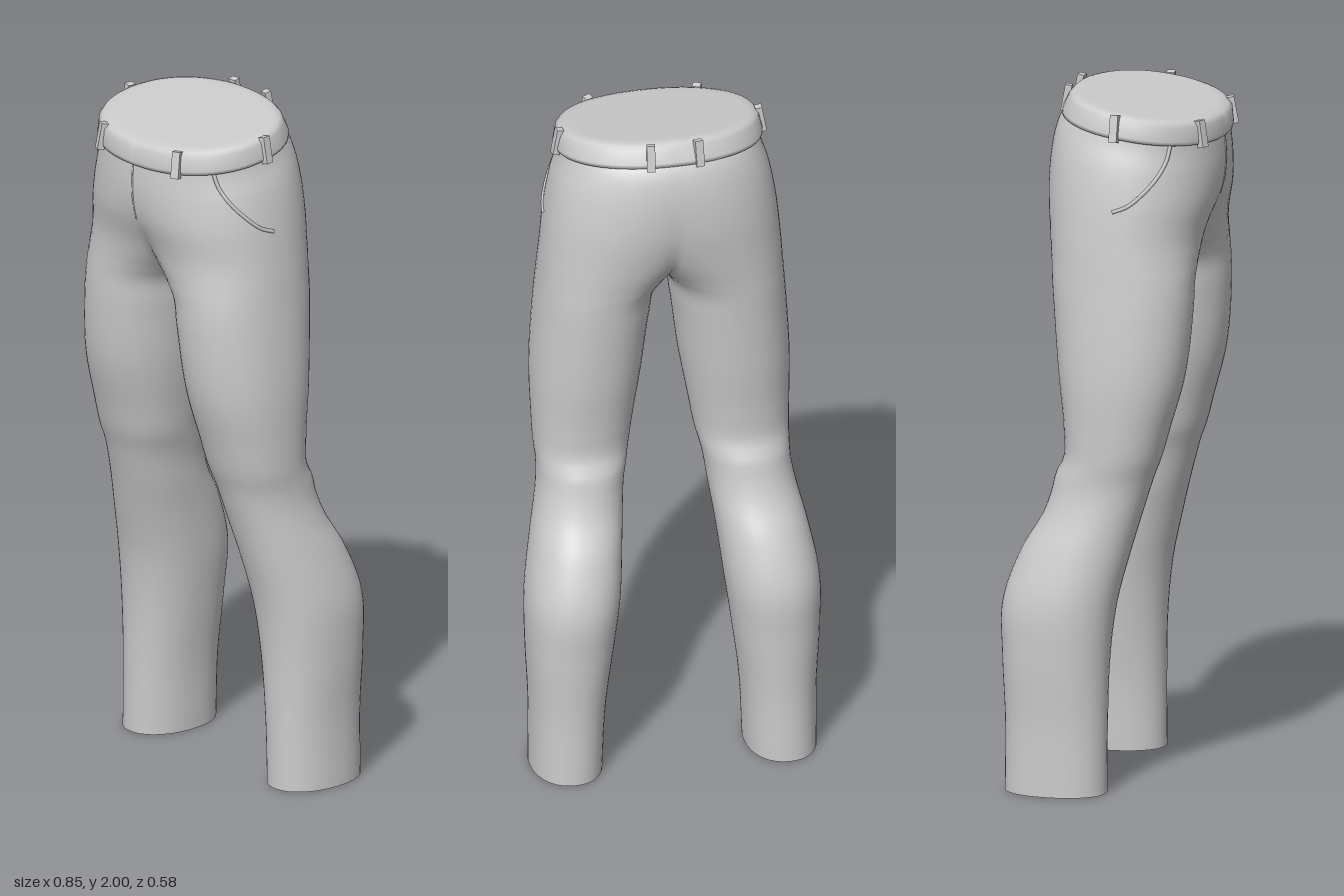
import * as THREE from 'three';
import { mergeVertices } from 'three/addons/utils/BufferGeometryUtils.js';

// Half-section keys from hem to waist: outer x, inner x, front z, back z.
// A negative inner x means the two halves merge at x = 0.
const HEIGHTS = [0, 0.2, 0.4, 0.55, 0.7, 0.8, 0.87, 0.92, 0.96, 1.05, 1.2, 1.4, 1.48, 1.52, 1.6, 1.72, 1.82, 1.89, 1.92];
const KEYS = [
  0.415, 0.21, 0.02, -0.275,
  0.415, 0.2, 0.02, -0.275,
  0.425, 0.175, 0.025, -0.285,
  0.425, 0.155, 0.042, -0.286,
  0.4, 0.14, 0.078, -0.235,
  0.378, 0.128, 0.105, -0.178,
  0.367, 0.12, 0.125, -0.154,
  0.366, 0.11, 0.14, -0.143,
  0.369, 0.1, 0.155, -0.122,
  0.372, 0.085, 0.18, -0.122,
  0.374, 0.06, 0.22, -0.14,
  0.362, 0.034, 0.24, -0.16,
  0.355, 0.018, 0.241, -0.168,
  0.352, -0.016, 0.242, -0.173,
  0.345, -0.1, 0.247, -0.187,
  0.332, -0.22, 0.275, -0.206,
  0.313, -0.285, 0.285, -0.204,
  0.291, -0.286, 0.283, -0.185,
  0.286, -0.286, 0.28, -0.165,
];
const spline = new THREE.CubicInterpolant(HEIGHTS, KEYS, 4);
const keyAt = (y) => [y, ...spline.evaluate(y)];

const POWER = 0.92; // slightly squared ovals
const MAX_ANGLE = THREE.MathUtils.degToRad(155);
const CROTCH = 1.52;
const bend = (v) => Math.sign(v) * Math.abs(v) ** POWER;

// Point on an oval section; the waist leans down towards the front
function pointAt([y, outer, inner, front, back], angle) {
  const cx = (outer + inner) / 2, rx = (outer - inner) / 2;
  const z = (front + back) / 2 + ((front - back) / 2) * bend(Math.sin(angle));
  const lean = 0.14 * THREE.MathUtils.smoothstep(y, 1.6, 1.88);
  return new THREE.Vector3(Math.max(0, cx + rx * bend(Math.cos(angle))), y - lean * (z - 0.05), z);
}

// Angle at which the section meets the centre plane
function startAngle([, outer, inner]) {
  const ratio = Math.max(0, (outer + inner) / (outer - inner));
  return Math.min(MAX_ANGLE, Math.acos(-Math.min(1, ratio ** (1 / POWER))));
}

// Row of points: front, round the outside to the back, then the inner leg if closed
function makeRow(key, closed) {
  const OUT = 40, IN = 10, s = startAngle(key), row = [];
  for (let i = 0; i <= OUT; i++) {
    const p = pointAt(key, s - (2 * s * i) / OUT);
    if (!closed && (i === 0 || i === OUT)) p.x = 0;
    row.push(p);
  }
  if (closed) {
    for (let i = 1; i <= IN; i++) row.push(pointAt(key, -s - ((2 * Math.PI - 2 * s) * i) / IN));
  }
  return row;
}

// Skin several stacks of rows, each mirrored in x, into one smooth geometry
function skin(stacks) {
  const pos = [], index = [];
  for (const rows of stacks) {
    for (const side of [1, -1]) {
      const base = pos.length / 3, n = rows[0].length;
      for (const row of rows) for (const p of row) pos.push(side * p.x, p.y, p.z);
      for (let i = 0; i < rows.length - 1; i++) {
        for (let j = 0; j < n - 1; j++) {
          const a = base + i * n + j, b = a + 1, c = b + n, d = a + n;
          if (side > 0) index.push(a, b, c, a, c, d);
          else index.push(a, c, b, a, d, c);
        }
      }
    }
  }
  const geo = new THREE.BufferGeometry();
  geo.setAttribute('position', new THREE.Float32BufferAttribute(pos, 3));
  geo.setIndex(index);
  const merged = mergeVertices(geo, 1e-5);
  merged.computeVertexNormals();
  return merged;
}

function rowsBetween(y0, y1, count, closed) {
  return Array.from({ length: count + 1 }, (_, i) =>
    makeRow(keyAt(y0 + ((y1 - y0) * i) / count), closed));
}

export function createModel() {
  const group = new THREE.Group();
  const material = new THREE.MeshStandardMaterial({ color: 0xcccccc });
  const add = (name, geometry) => {
    const mesh = new THREE.Mesh(geometry, material);
    mesh.name = name;
    group.add(mesh);
    return mesh;
  };

  // Legs and hips as one smooth skin
  add('trousers', skin([rowsBetween(0, CROTCH, 64, true), rowsBetween(CROTCH, 1.92, 22, false)]));

  // Flat closed leg ends
  add('hemCaps', skin([[
    makeRow([0, 0.313, 0.312, -0.127, -0.128], true),
    makeRow(keyAt(0), true),
  ]]));

  // Waistband with rounded upper edge and closed top
  const band = [
    [1.9, 0.284, 0.278, -0.165],
    [1.904, 0.298, 0.288, -0.18],
    [1.915, 0.3, 0.29, -0.178],
    [1.955, 0.291, 0.286, -0.16],
    [1.966, 0.283, 0.275, -0.15],
    [1.971, 0.268, 0.258, -0.136],
    [1.972, 0.25, 0.24, -0.12],
    [1.972, 0.001, 0.061, 0.059],
  ];
  add('waistband', skin([band.map(([y, x, f, b]) => makeRow([y, x, -x, f, b], false))]));

  // Belt loops: front, side and back pairs
  const bandKey = [1.934, 0.297, -0.297, 0.289, -0.17];
  for (const degrees of [59, -4, -78]) {
    const angle = THREE.MathUtils.degToRad(degrees);
    const p = pointAt(bandKey, angle);
    for (const side of [1, -1]) {
      const loop = add('beltLoop', new THREE.BoxGeometry(0.024, 0.078, 0.02));
      loop.position.set(side * p.x, p.y, p.z);
      loop.rotation.order = 'YXZ';
      loop.rotation.y = side * Math.atan2(Math.cos(angle) / 0.297, Math.sin(angle) / 0.23);
      loop.rotation.x = -0.18;
    }
  }

  // Curved pocket edges lying on the hips
  const edge = [[1.91, 35], [1.86, 33], [1.81, 28], [1.76, 20], [1.72, 11], [1.7, 2]];
  for (const side of [1, -1]) {
    const points = edge.map(([y, degrees]) => {
      const p = pointAt(keyAt(y), THREE.MathUtils.degToRad(degrees));
      p.x *= side;
      return p;
    });
    add('pocketEdge', new THREE.TubeGeometry(new THREE.CatmullRomCurve3(points), 32, 0.006, 6));
  }

  // Fly seam down the centre front
  const seam = [1.91, 1.85, 1.78, 1.71].map((y) => {
    const key = keyAt(y), p = pointAt(key, startAngle(key));
    return p.setX(0);
  });
  add('flySeam', new THREE.TubeGeometry(new THREE.CatmullRomCurve3(seam), 16, 0.003, 6));

  return group;
}
